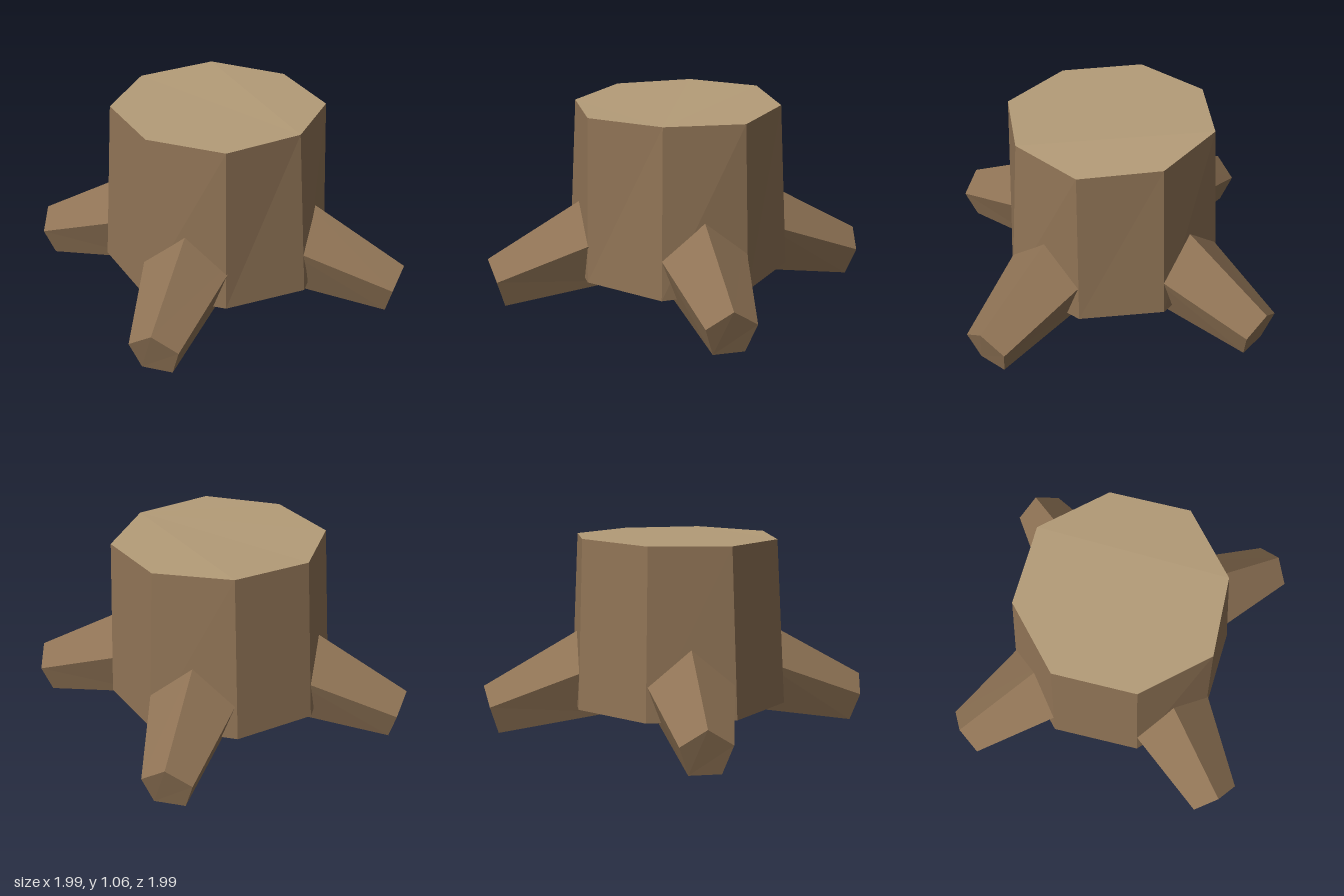
import * as THREE from 'three';

const bark = new THREE.MeshStandardMaterial({ color: 0x8f7355, flatShading: true });
bark.name = 'bark';
const cutWood = new THREE.MeshStandardMaterial({ color: 0xb49c78, flatShading: true });
cutWood.name = 'cut wood';

// Joins two rings (counterclockwise seen from the end of the axis).
// Group 0 holds the sides, group 1 both end caps.
function loft(start, end) {
  const n = start.length, positions = [];
  const face = (...points) => points.forEach((p) => positions.push(...p));
  for (let i = 0; i < n; i++) {
    const j = (i + 1) % n;
    face(start[i], start[j], end[j]);
    face(start[i], end[j], end[i]);
  }
  for (let i = 1; i < n - 1; i++) {
    face(end[0], end[i], end[i + 1]);
    face(start[0], start[i + 1], start[i]);
  }
  const geometry = new THREE.BufferGeometry();
  geometry.setAttribute('position', new THREE.Float32BufferAttribute(positions, 3));
  geometry.addGroup(0, n * 6, 0);
  geometry.addGroup(n * 6, (n - 2) * 6, 1);
  geometry.computeVertexNormals();
  return geometry;
}

// Pentagonal root section: [half width, height, distance outward] per level
function rootRing([bw, by, bz], [sw, sy, sz], [ty, tz]) {
  return [[-bw, by, bz], [bw, by, bz], [sw, sy, sz], [0, ty, tz], [-sw, sy, sz]];
}

export function createModel() {
  const model = new THREE.Group();
  model.name = 'treeStump';

  // Trunk: slightly irregular tapered octagon with an uneven cut
  const bottom = [
    [0.61, 0.135, 0], [0.42, 0.145, -0.43], [0, 0.155, -0.605], [-0.44, 0.155, -0.42],
    [-0.62, 0.155, 0], [-0.445, 0.155, 0.44], [0, 0.15, 0.61], [0.42, 0.145, 0.425],
  ];
  const top = [
    [0.55, 1.04, 0], [0.41, 1.035, -0.405], [0, 1.045, -0.56], [-0.4, 1.063, -0.4],
    [-0.57, 1.055, 0], [-0.415, 1.05, 0.4], [0, 1.043, 0.56], [0.405, 1.04, 0.41],
  ];
  const trunk = new THREE.Mesh(loft(bottom, top), [bark, cutWood]);
  trunk.name = 'trunk';
  model.add(trunk);

  // Four identical roots spreading out and down to the ground
  const inner = rootRing([0.152, 0.11, 0.366], [0.257, 0.402, 0.41], [0.588, 0.45]);
  const outer = rootRing([0.083, 0, 0.98], [0.133, 0.155, 1.023], [0.245, 1.053]);
  const rootGeometry = loft(inner, outer);
  for (let i = 0; i < 4; i++) {
    const root = new THREE.Mesh(rootGeometry, [bark, bark]);
    root.name = `root${i + 1}`;
    root.rotation.y = Math.PI / 8 + (i * Math.PI) / 2;
    model.add(root);
  }
  return model;
}
